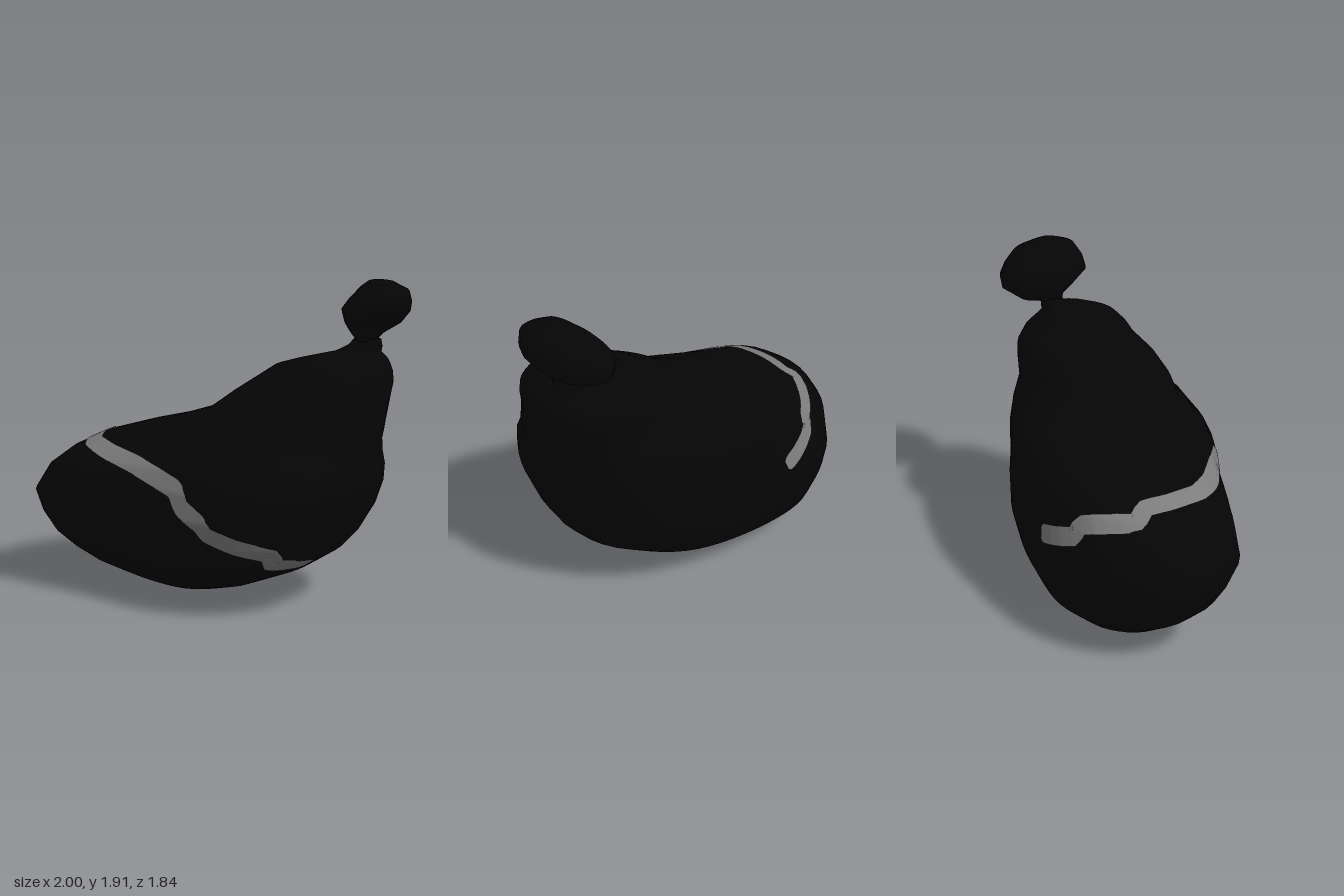
import * as THREE from 'three';

// Closed plan outline, rescaled so that it fills -1..1 on both axes
function planOutline(points, count) {
  const curve = new THREE.CatmullRomCurve3(points.map(([x, z]) => new THREE.Vector3(x, 0, z)), true);
  const pts = curve.getSpacedPoints(count).slice(0, count);
  const box = new THREE.Box3().setFromPoints(pts);
  const c = box.getCenter(new THREE.Vector3());
  const s = box.getSize(new THREE.Vector3());
  return pts.map((p) => [2 * (p.x - c.x) / s.x, 2 * (p.z - c.z) / s.z]);
}

// Skin over horizontal sections [y, xMin, xMax, zMin, zMax, roundness]
function loft(outline, rows) {
  const n = outline.length, pos = [], idx = [];
  for (const [y, x0, x1, z0, z1, round] of rows) {
    for (const [u, v] of outline) {
      const len = Math.hypot(u, v);
      const ru = u + (u / len - u) * round, rv = v + (v / len - v) * round;
      pos.push((x0 + x1) / 2 + ru * (x1 - x0) / 2, y, (z0 + z1) / 2 + rv * (z1 - z0) / 2);
    }
  }
  for (let r = 0; r < rows.length - 1; r++) {
    for (let i = 0; i < n; i++) {
      const a = r * n + i, b = r * n + (i + 1) % n;
      idx.push(a, a + n, b, b, a + n, b + n);
    }
  }
  // close both ends with a centre point
  for (const [r, top] of [[0, false], [rows.length - 1, true]]) {
    const [y, x0, x1, z0, z1] = rows[r], c = pos.length / 3;
    pos.push((x0 + x1) / 2, y + (top ? 0.006 : -0.005), (z0 + z1) / 2);
    for (let i = 0; i < n; i++) {
      const a = r * n + i, b = r * n + (i + 1) % n;
      if (top) idx.push(a, c, b); else idx.push(a, b, c);
    }
  }
  return finish(pos, idx);
}

function finish(pos, idx) {
  const g = new THREE.BufferGeometry();
  g.setAttribute('position', new THREE.Float32BufferAttribute(pos, 3));
  g.setIndex(idx);
  g.computeVertexNormals();
  return g;
}

// Thin ribbon laid on a mesh along a rough path
function ribbonOn(mesh, points, width) {
  const centre = new THREE.Vector3(-0.12, 0.5, -0.08);
  const ray = new THREE.Raycaster();
  const project = (p) => {
    const out = p.clone().sub(centre).normalize();
    ray.set(centre.clone().addScaledVector(out, 4), out.clone().negate());
    const hit = ray.intersectObject(mesh)[0];
    return { point: hit.point.clone().addScaledVector(hit.face.normal, 0.007), normal: hit.face.normal.clone() };
  };
  const path = new THREE.CatmullRomCurve3(
    points.map((p) => project(new THREE.Vector3(...p)).point), false, 'catmullrom', 0.15);
  const steps = 150, across = 8, pos = [], idx = [];
  for (let i = 0; i <= steps; i++) {
    const t = i / steps, { point, normal } = project(path.getPointAt(t));
    const side = path.getTangentAt(t).cross(normal).normalize();
    // rounded ends
    const end = Math.min(1, Math.min(i, steps - i) / 2.5);
    const w = width * (0.6 + 0.4 * Math.sqrt(end * (2 - end)));
    for (let j = 0; j <= across; j++) {
      const q = project(point.clone().addScaledVector(side, (j / across - 0.5) * w)).point;
      pos.push(q.x, q.y, q.z);
      if (i < steps && j < across) {
        const a = i * (across + 1) + j, b = a + across + 1;
        idx.push(a, a + 1, b, b, a + 1, b + 1);
      }
    }
  }
  return finish(pos, idx);
}

export function createModel() {
  const black = new THREE.MeshStandardMaterial({ color: 0x050505 });
  black.name = 'black plastic';
  const grey = new THREE.MeshStandardMaterial({ color: 0x7d7d7d, side: THREE.DoubleSide });
  grey.name = 'grey band';
  const model = new THREE.Group();
  const add = (name, geometry, material) => {
    const mesh = new THREE.Mesh(geometry, material);
    mesh.name = name;
    model.add(mesh);
    return mesh;
  };

  // Slumped sack, drawn up into a neck
  const sackPlan = planOutline([
    [-1, -0.46], [-0.95, -0.66], [-0.75, -0.85], [-0.4, -0.92], [-0.22, -0.89], [0, -0.81],
    [0.22, -0.65], [0.62, -0.24], [0.76, -0.02], [0.82, 0.2], [0.82, 0.44], [0.74, 0.63],
    [0.53, 0.79], [0.27, 0.89], [0.13, 0.91], [-0.05, 0.87], [-0.2, 0.8], [-0.31, 0.7],
    [-0.42, 0.53], [-0.6, 0.2], [-0.72, 0.02], [-0.85, -0.18],
  ], 56);
  const sack = add('sack', loft(sackPlan, [
    [0.005, -0.25, -0.02, -0.32, -0.08, 0.3],
    [0.025, -0.4, 0.06, -0.46, 0.04, 0.25],
    [0.06, -0.49, 0.17, -0.6, 0.17, 0.2],
    [0.12, -0.62, 0.32, -0.74, 0.35, 0.15],
    [0.22, -0.76, 0.56, -0.85, 0.55, 0.12],
    [0.33, -0.88, 0.69, -0.9, 0.7, 0.12],
    [0.45, -0.95, 0.77, -0.92, 0.79, 0.08],
    [0.6, -1, 0.82, -0.89, 0.87, 0.03],
    [0.75, -0.93, 0.84, -0.82, 0.92, 0.03],
    [0.85, -0.82, 0.85, -0.75, 0.91, 0.1],
    [0.93, -0.67, 0.845, -0.66, 0.88, 0.22],
    [1.0, -0.5, 0.845, -0.5, 0.86, 0.4],
    [1.05, -0.33, 0.85, -0.36, 0.85, 0.55],
    [1.14, -0.18, 0.855, -0.13, 0.83, 0.75],
    [1.25, -0.04, 0.875, -0.05, 0.81, 0.85],
    [1.34, 0.12, 0.88, 0, 0.8, 0.85],
    [1.4, 0.19, 0.86, 0.08, 0.79, 0.85],
    [1.45, 0.27, 0.82, 0.25, 0.76, 0.75],
    [1.475, 0.4, 0.805, 0.32, 0.7, 0.6],
    [1.495, 0.54, 0.805, 0.37, 0.57, 0.4],
    [1.53, 0.63, 0.805, 0.385, 0.565, 0.3],
    [1.57, 0.67, 0.795, 0.39, 0.56, 0.3],
  ]), black);

  // Bunched top above the tie
  const knotPlan = planOutline([
    [0.54, 0.6], [0.6, 0.4], [0.8, 0.2], [0.93, 0.22], [0.98, 0.3], [1, 0.45],
    [0.9, 0.68], [0.82, 0.72], [0.7, 0.73], [0.6, 0.68],
  ], 24);
  add('knot', loft(knotPlan, [
    [1.555, 0.66, 0.78, 0.39, 0.53, 0],
    [1.6, 0.64, 0.86, 0.255, 0.54, 0],
    [1.66, 0.59, 0.98, 0.205, 0.6, 0],
    [1.74, 0.54, 1, 0.19, 0.71, 0],
    [1.8, 0.58, 0.985, 0.23, 0.73, 0],
    [1.86, 0.64, 0.95, 0.29, 0.72, 0],
    [1.9, 0.69, 0.87, 0.4, 0.62, 0],
  ]), black);

  // Stepped band wrapped around the low end
  add('band', ribbonOn(sack, [
    [0.33, 0.3, 0.66], [0.14, 0.335, 0.7], [0.02, 0.355, 0.73], [0.015, 0.415, 0.77],
    [-0.2, 0.48, 0.75], [-0.335, 0.545, 0.62], [-0.36, 0.6, 0.54], [-0.41, 0.665, 0.43],
    [-0.42, 0.745, 0.36], [-0.54, 0.825, 0.1], [-0.66, 0.885, -0.13], [-0.69, 0.91, -0.33],
    [-0.6, 0.915, -0.52], [-0.49, 0.89, -0.61], [-0.49, 0.85, -0.71], [-0.3, 0.82, -0.76],
    [-0.17, 0.79, -0.78], [-0.15, 0.73, -0.82], [0, 0.68, -0.8], [0.14, 0.63, -0.73],
  ], 0.115), grey);

  return model;
}
